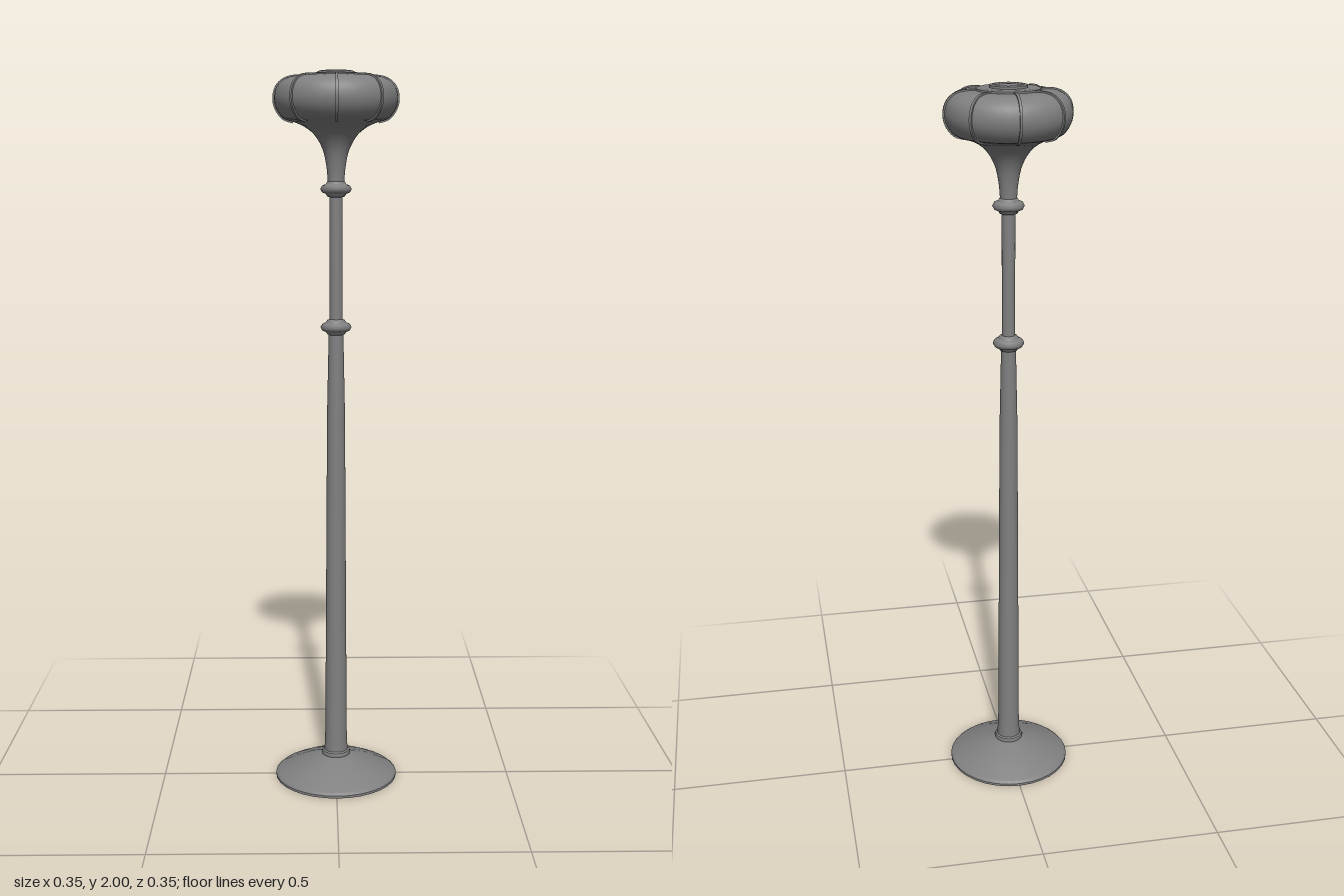
import * as THREE from 'three';

export function createModel() {
  const model = new THREE.Group();
  model.name = 'streetLamp';
  const metal = new THREE.MeshStandardMaterial({ color: 0x808080, side: THREE.DoubleSide });
  metal.name = 'greyMetal';

  const V = (p) => new THREE.Vector2(p[0], p[1]);

  // Each run of points is smooth; creases fall between runs
  function turned(name, ...runs) {
    const group = new THREE.Group();
    group.name = name;
    runs.forEach((run, i) => {
      const mesh = new THREE.Mesh(new THREE.LatheGeometry(run.map(V), 32), metal);
      mesh.name = name + 'Surface' + (i + 1);
      group.add(mesh);
    });
    model.add(group);
  }

  // Hollow foot, open underneath
  turned('foot',
    [[0.175, 0], [0.175, 0.007]],
    [[0.175, 0.007], [0.168, 0.013]],
    [[0.168, 0.013], [0.125, 0.034], [0.08, 0.052], [0.04, 0.064]]);

  // Collar and tapered lower pole
  turned('footCollar',
    [[0.04, 0.064], [0.041, 0.07], [0.039, 0.075]],
    [[0.039, 0.075], [0.034, 0.078]]);
  turned('lowerPole', [[0.034, 0.06], [0.031, 0.14], [0.025, 1.07], [0.02, 1.31]]);
  turned('upperPole', [[0.018, 1.31], [0.018, 1.69]]);

  // Bulging rings on the pole
  for (const [name, y] of [['middleRing', 1.312], ['upperRing', 1.688]]) {
    turned(name,
      [[0.018, y - 0.022], [0.024, y - 0.02], [0.028, y - 0.013]],
      [[0.028, y - 0.013], [0.038, y - 0.009], [0.043, y], [0.038, y + 0.009], [0.028, y + 0.013]],
      [[0.028, y + 0.013], [0.024, y + 0.02], [0.018, y + 0.022]]);
  }

  // Trumpet holder under the lantern
  const flare = new THREE.SplineCurve([
    [0.022, 1.695], [0.025, 1.74], [0.035, 1.79], [0.057, 1.83], [0.085, 1.853], [0.115, 1.866],
  ].map(V)).getPoints(16).map((p) => [p.x, p.y]);
  turned('trumpetHolder', flare);

  // Lantern globe
  const profile = new THREE.SplineCurve([
    [0.115, 1.866], [0.142, 1.875], [0.161, 1.9], [0.167, 1.928],
    [0.16, 1.957], [0.14, 1.977], [0.112, 1.985], [0.08, 1.985],
  ].map(V)).getPoints(28);
  turned('globe', profile.map((p) => [p.x, p.y]));

  // Stepped cap on top
  turned('cap',
    [[0.084, 1.98], [0.084, 1.99]],
    [[0.084, 1.99], [0.076, 1.992]],
    [[0.076, 1.992], [0.05, 1.992]],
    [[0.05, 1.992], [0.05, 1.998]],
    [[0.05, 1.998], [0.041, 2.0]],
    [[0.041, 2.0], [0.041, 1.996]],
    [[0.041, 1.996], [0.02, 1.999], [0, 2.0]]);

  // Eight thin ribs following the globe
  const offset = (d) => profile.map((p, i) => {
    const a = profile[Math.max(i - 1, 0)];
    const b = profile[Math.min(i + 1, profile.length - 1)];
    const t = b.clone().sub(a).normalize();
    return new THREE.Vector2(p.x + t.y * d, p.y - t.x * d);
  });
  const ribShape = new THREE.Shape([...offset(0.004), ...offset(-0.003).reverse()]);
  const ribGeometry = new THREE.ExtrudeGeometry(ribShape, { depth: 0.007, bevelEnabled: false });
  ribGeometry.translate(0, 0, -0.0035);
  for (let i = 0; i < 8; i++) {
    const rib = new THREE.Mesh(ribGeometry, metal);
    rib.name = 'rib' + (i + 1);
    rib.rotation.y = (i * Math.PI) / 4;
    model.add(rib);
  }

  return model;
}
